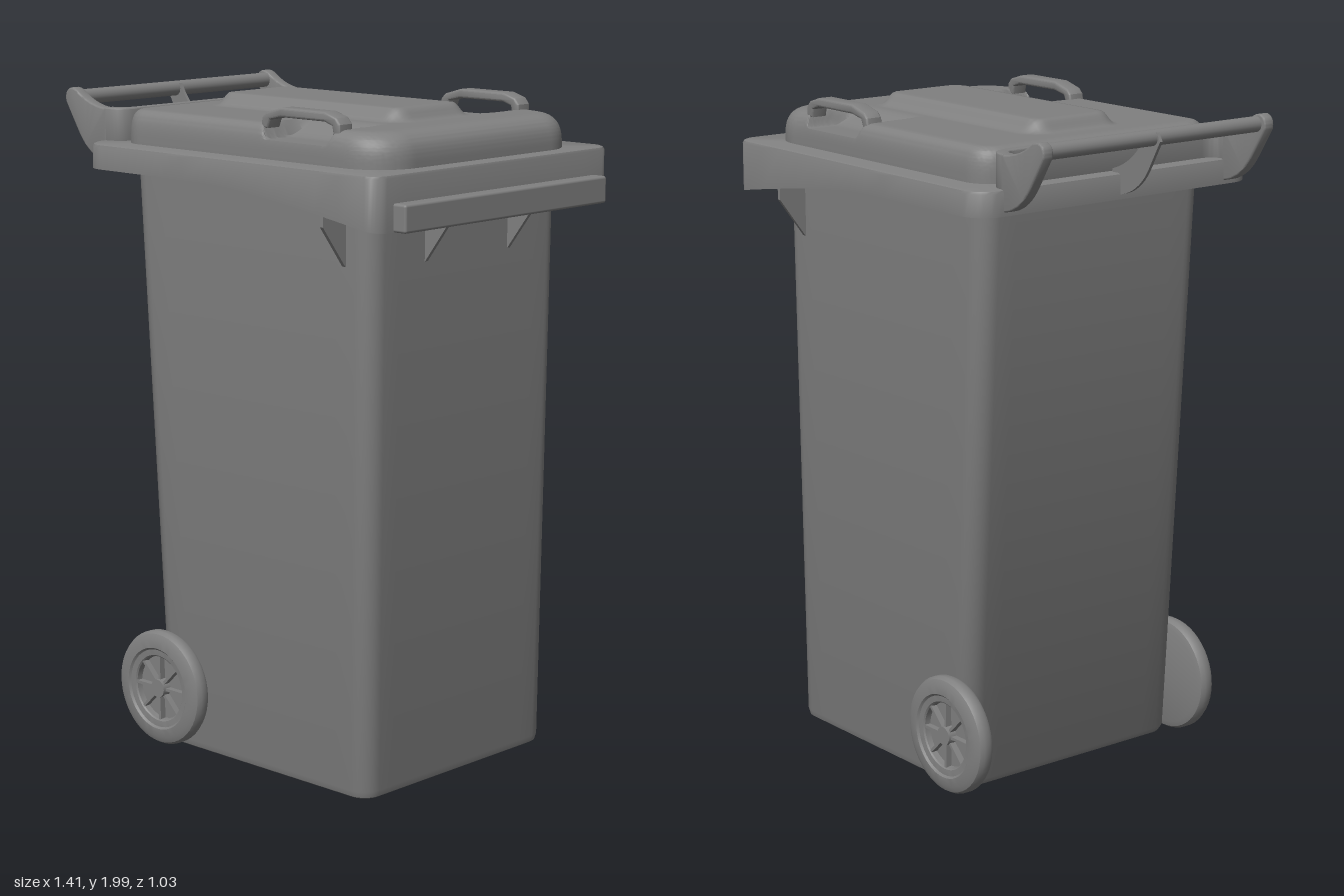
import * as THREE from 'three';
import { toCreasedNormals } from 'three/addons/utils/BufferGeometryUtils.js';
import { RoundedBoxGeometry } from 'three/addons/geometries/RoundedBoxGeometry.js';

const grey = new THREE.MeshStandardMaterial({ color: 0x808080 });
grey.name = 'grey plastic';

function add(parent, name, geo, x = 0, y = 0, z = 0) {
  const m = new THREE.Mesh(geo, grey);
  m.name = name;
  m.position.set(x, y, z);
  parent.add(m);
  return m;
}

function geometry(pos, idx, crease) {
  const g = new THREE.BufferGeometry();
  g.setAttribute('position', new THREE.Float32BufferAttribute(pos, 3));
  g.setIndex(idx);
  return toCreasedNormals(g, crease);
}

// rounded rectangle in x/z, running from +x towards +z
function loop(x0, x1, hz, rBack, rFront) {
  const pts = [];
  const corners = [[x1, 1, rFront, 0], [x0, 1, rBack, 1], [x0, -1, rBack, 2], [x1, -1, rFront, 3]];
  for (const [x, sz, r, q] of corners) {
    const cx = x === x1 ? x - r : x + r, cz = sz * (hz - r);
    for (let i = 0; i <= 8; i++) {
      const a = (q + i / 8) * Math.PI / 2;
      pts.push([cx + r * Math.cos(a), cz + r * Math.sin(a)]);
    }
  }
  // subdivide the straight sides
  const out = [];
  pts.forEach((p, i) => {
    out.push(p);
    if (i % 9 !== 8) return;
    const n = pts[(i + 1) % pts.length];
    for (let k = 1; k < 12; k++) out.push([p[0] + (n[0] - p[0]) * k / 12, p[1] + (n[1] - p[1]) * k / 12]);
  });
  return out;
}

// skin through sections [y or y(x), x0, x1, hz, rBack, rFront], capped at both ends
function loft(sections, crease = 0.6) {
  const pos = [], idx = [];
  let n = 0;
  for (const [y, ...s] of sections) {
    const l = loop(...s);
    n = l.length;
    for (const [x, z] of l) pos.push(x, typeof y === 'function' ? y(x) : y, z);
  }
  const last = (sections.length - 1) * n, c = sections.length * n;
  for (const [y, x0, x1] of [sections[0], sections[sections.length - 1]]) pos.push((x0 + x1) / 2, y, 0);
  for (let j = 0; j < n; j++) {
    const k = (j + 1) % n;
    for (let i = 0; i < last; i += n) idx.push(i + j, i + n + j, i + k, i + k, i + n + j, i + n + k);
    idx.push(c, j, k, c + 1, last + k, last + j);
  }
  return geometry(pos, idx, crease);
}

// signed distance to a rounded rectangle, negative inside
function distance(x, z, x0, x1, hz, r) {
  const qx = Math.abs(x - (x0 + x1) / 2) - (x1 - x0) / 2 + r, qz = Math.abs(z) - hz + r;
  return Math.hypot(Math.max(qx, 0), Math.max(qz, 0)) + Math.min(Math.max(qx, qz), 0) - r;
}
const step = THREE.MathUtils.smoothstep;

// lid surface: rounded edge, raised centre panel and two hand scoops
function lidGeometry() {
  const X0 = -0.46, X1 = 0.61, HZ = 0.435, RB = 0.09, RF = 0.14, NX = 150, NZ = 100;
  const inset = (z, r) => {
    const d = Math.max(0, Math.abs(z) - HZ + r);
    return r - Math.sqrt(Math.max(0, r * r - d * d));
  };
  const height = (x, z) => {
    const d = Math.max(0, -distance(x, z, X0, X1, HZ, x < 0 ? RB : RF));
    const w = 0.05 + 0.05 * step(x, 0.35, 0.6);
    const t = 1 - Math.min(1, d / w);
    const edge = 1.85 + 0.1 * Math.cbrt(1 - t * t * t);
    const panel = 0.038 * step(-distance(x, z, -0.35, 0.43, 0.17, 0.07), 0, 0.04);
    const scoop = step(x, 0.13, 0.155) * (1 - step(x, 0.395, 0.42)) * step(Math.abs(z), 0.2, 0.34);
    return Math.min(edge + panel, 1.95 + panel - 0.045 * scoop);
  };
  const pos = [], idx = [];
  for (let j = 0; j <= NZ; j++) {
    const z = HZ * Math.sin((j / NZ - 0.5) * Math.PI);
    const a = X0 + inset(z, RB), b = X1 - inset(z, RF);
    for (let i = 0; i <= NX; i++) {
      const x = a + (b - a) * (0.5 + 0.5 * Math.sin((i / NX - 0.5) * Math.PI));
      pos.push(x, height(x, z), z);
      if (i < NX && j < NZ) {
        const p = j * (NX + 1) + i, q = p + NX + 1;
        idx.push(p, q, p + 1, p + 1, q, q + 1);
      }
    }
  }
  return geometry(pos, idx, 0.8);
}

// side-on outline extruded along z, centred on z = 0
function plate(shape, depth, bevel = 0) {
  const g = new THREE.ExtrudeGeometry(shape, {
    depth: depth - 2 * bevel, bevelEnabled: bevel > 0, bevelSize: bevel, bevelThickness: bevel,
    bevelOffset: -bevel, bevelSegments: 3, curveSegments: 10,
  });
  g.translate(0, 0, bevel - depth / 2);
  return toCreasedNormals(g, 0.6);
}
const polygon = (pts) => new THREE.Shape(pts.map(([x, y]) => new THREE.Vector2(x, y)));

function wheel() {
  const g = new THREE.Group();
  const profile = [[0, 0], [0.155, 0], [0.171, 0.005], [0.178, 0.017], [0.178, 0.037], [0.171, 0.049],
    [0.155, 0.056], [0.128, 0.058], [0.122, 0.052], [0.104, 0.05], [0.1, 0.046], [0.098, 0.028], [0, 0.028]];
  const disc = new THREE.LatheGeometry(profile.map(([r, h]) => new THREE.Vector2(r, h)), 48);
  disc.rotateX(Math.PI / 2);
  add(g, 'tyre', toCreasedNormals(disc, 0.6));
  const hub = new THREE.CylinderGeometry(0.028, 0.03, 0.03, 24);
  hub.rotateX(Math.PI / 2);
  add(g, 'hub', hub, 0, 0, 0.04);
  for (let i = 0; i < 8; i++) {
    const spoke = new THREE.BoxGeometry(0.08, 0.009, 0.02);
    spoke.translate(0.063, 0, 0.037);
    spoke.rotateZ(i * Math.PI / 4);
    add(g, 'spoke', spoke);
  }
  return g;
}

export function createModel() {
  const model = new THREE.Group();
  model.name = 'wheeled bin';

  // tapered container
  add(model, 'body', loft([
    [0.005, -0.295, 0.515, 0.39, 0.05, 0.05],
    [0.011, -0.312, 0.525, 0.4, 0.055, 0.055],
    [0.03, -0.325, 0.53, 0.406, 0.06, 0.06],
    [1.82, -0.428, 0.552, 0.414, 0.06, 0.06],
  ]));

  // hollow rim, deeper towards the front
  const low = (x) => 1.775 - 0.085 * Math.pow(Math.max(0, (x - 0.02) / 0.64), 1.3);
  add(model, 'rim', loft([
    [1.81, -0.51, 0.635, 0.49, 0.06, 0.03],
    [low, -0.51, 0.635, 0.49, 0.06, 0.03],
    [low, -0.535, 0.66, 0.515, 0.08, 0.05],
    [1.84, -0.535, 0.66, 0.515, 0.08, 0.05],
    [1.847, -0.532, 0.657, 0.512, 0.08, 0.05],
    [1.85, -0.525, 0.65, 0.505, 0.075, 0.045],
  ]));
  add(model, 'frontLip', new RoundedBoxGeometry(0.07, 0.08, 0.88, 3, 0.008), 0.67, 1.73, 0);

  // gussets under the rim
  const gusset = plate(polygon([[-0.02, 1.57], [0.005, 1.57], [0.095, 1.69], [0.095, 1.81], [-0.02, 1.81]]), 0.012);
  for (const s of [1, -1]) {
    add(model, 'frontGusset', gusset, 0.545, 0, s * 0.18);
    add(model, 'sideGusset', gusset, 0.45, 0, s * 0.41).rotation.y = -s * Math.PI / 2;
  }

  // lid and its two grips
  add(model, 'lid', lidGeometry());
  const grip = plate(polygon([[0.12, 1.935], [0.125, 1.965], [0.14, 1.98], [0.2, 1.997], [0.37, 1.997], [0.415, 1.983],
    [0.43, 1.965], [0.43, 1.935], [0.405, 1.935], [0.4, 1.96], [0.37, 1.97], [0.2, 1.97], [0.155, 1.96], [0.145, 1.935]]), 0.055, 0.006);
  for (const s of [1, -1]) add(model, 'lidGrip', grip, 0, 0, s * 0.385);

  // push handle: arms, crossbar, middle rib and curved back wall
  const arm = new THREE.Shape();
  arm.moveTo(-0.645, 1.985);
  arm.quadraticCurveTo(-0.59, 1.948, -0.52, 1.946);
  arm.lineTo(-0.52, 1.785);
  arm.quadraticCurveTo(-0.6, 1.79, -0.65, 1.87);
  arm.lineTo(-0.703, 1.955);
  arm.quadraticCurveTo(-0.71, 1.99, -0.68, 1.998);
  arm.quadraticCurveTo(-0.66, 1.998, -0.645, 1.985);
  const armGeo = plate(arm, 0.036, 0.005);
  for (const s of [1, -1]) add(model, 'handleArm', armGeo, 0, 0, s * 0.41);
  const rib = new THREE.Shape();
  rib.moveTo(-0.645, 1.985);
  rib.quadraticCurveTo(-0.6, 1.89, -0.5, 1.86);
  rib.lineTo(-0.5, 1.785);
  rib.quadraticCurveTo(-0.6, 1.79, -0.65, 1.87);
  rib.lineTo(-0.7, 1.96);
  rib.lineTo(-0.685, 1.985);
  add(model, 'handleRib', plate(rib, 0.01));
  const bar = new THREE.CylinderGeometry(0.023, 0.023, 0.82, 20);
  bar.rotateX(Math.PI / 2);
  add(model, 'handleBar', bar, -0.667, 1.968, 0);

  const wall = new THREE.Shape();
  wall.moveTo(-0.53, -0.428);
  wall.quadraticCurveTo(-0.457, -0.428, -0.457, -0.35);
  wall.lineTo(-0.457, 0.35);
  wall.quadraticCurveTo(-0.457, 0.428, -0.53, 0.428);
  wall.lineTo(-0.53, 0.392);
  wall.quadraticCurveTo(-0.487, 0.392, -0.487, 0.34);
  wall.lineTo(-0.487, -0.34);
  wall.quadraticCurveTo(-0.487, -0.392, -0.53, -0.392);
  const wallGeo = plate(wall, 0.11, 0.004);
  wallGeo.rotateX(Math.PI / 2);
  add(model, 'handleWall', wallGeo, 0, 1.893, 0);

  // wheels
  for (const s of [1, -1]) {
    const w = wheel();
    w.name = s > 0 ? 'frontWheel' : 'backWheel';
    w.position.set(-0.29, 0.187, s * 0.407);
    if (s < 0) w.rotation.y = Math.PI;
    model.add(w);
  }
  return model;
}
